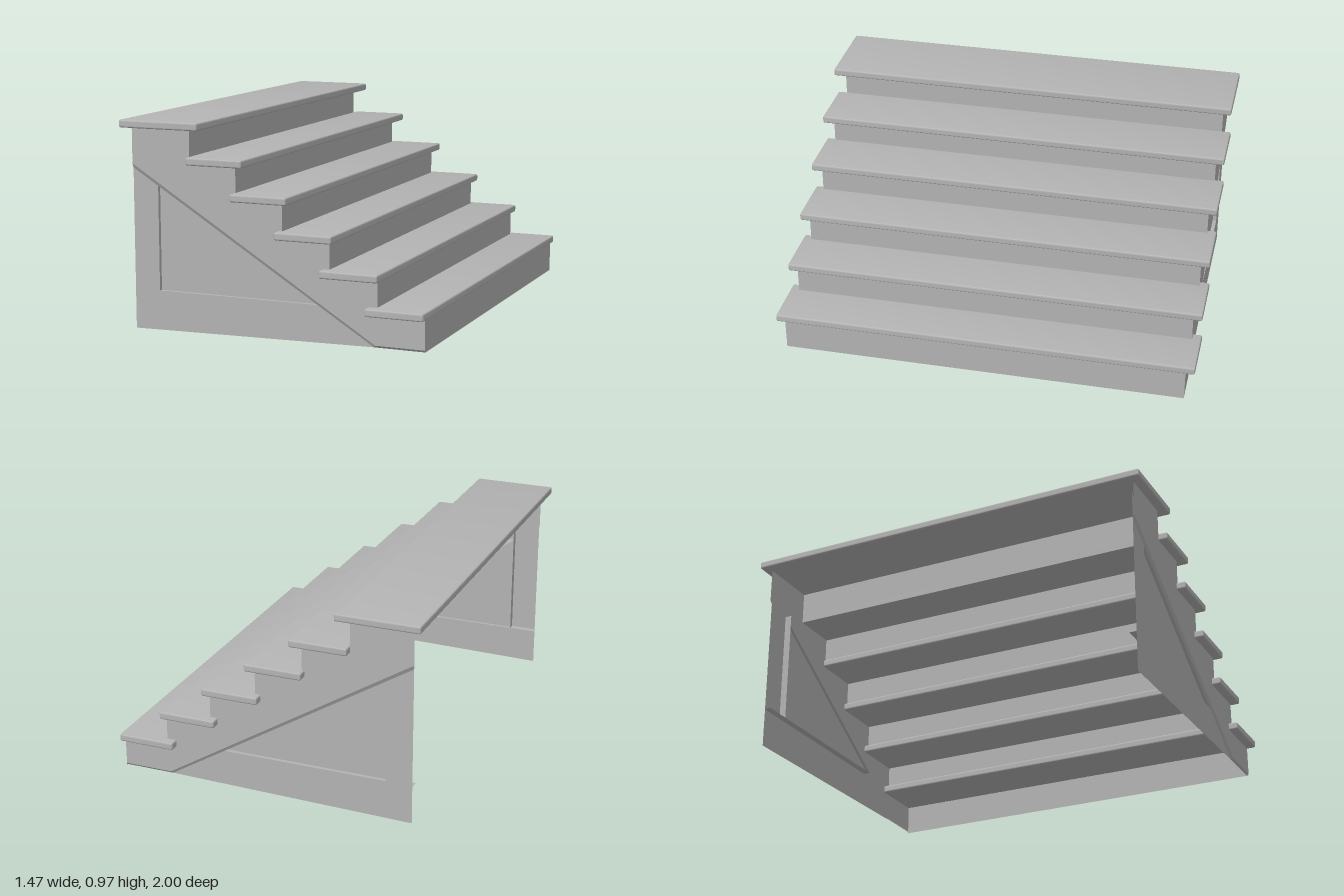
import * as THREE from 'three';
import { toCreasedNormals } from 'three/addons/utils/BufferGeometryUtils.js';
import { RoundedBoxGeometry } from 'three/addons/geometries/RoundedBoxGeometry.js';

// Steps from top to bottom: [tread left x, tread right x, tread top y, riser face x]
const STEPS = [
  [-0.735, -0.34, 0.967, -0.40],
  [-0.40, -0.124, 0.812, -0.172],
  [-0.185, 0.09, 0.66, 0.055],
  [0.03, 0.305, 0.504, 0.281],
  [0.245, 0.52, 0.35, 0.505],
  [0.46, 0.732, 0.199, 0.725],
];
const TREAD = 0.036, BACK = -0.69, BOTTOM = 0.02;
// Depths of the side sheets, measured from the middle
const STRINGER_Z = 0.957, SKIRT_Z = 0.948, PANEL_Z = 0.93, LIP_Z = 0.915;

export function createModel() {
  const group = new THREE.Group();
  const grey = new THREE.MeshStandardMaterial({ color: 0xb3b3b3, side: THREE.DoubleSide });
  grey.name = 'grey paint';

  const add = (name, geometry, parent) => {
    const mesh = new THREE.Mesh(geometry, grey);
    mesh.name = name;
    parent.add(mesh);
    return mesh;
  };

  // Flat sheet with an x-y outline at one z
  const sheet = (points, z) =>
    new THREE.ShapeGeometry(new THREE.Shape(points.map(([x, y]) => new THREE.Vector2(x, y)))).translate(0, 0, z);

  // Four-cornered sheet joining edge a-b at depth za to edge c-d at depth zb
  const strip = ([a, b], za, [c, d], zb) => {
    const geometry = new THREE.BufferGeometry();
    const corners = [...a, za, ...b, za, ...d, zb, ...c, zb];
    geometry.setAttribute('position', new THREE.Float32BufferAttribute(corners, 3));
    geometry.setIndex([0, 1, 2, 0, 2, 3]);
    geometry.computeVertexNormals();
    return geometry;
  };

  // Treads with softened edges, and thin risers below them
  STEPS.forEach(([left, right, top, face], i) => {
    const tread = new RoundedBoxGeometry(right - left, TREAD, 2, 2, 0.009);
    add('tread', toCreasedNormals(tread, 0.3), group).position.set((left + right) / 2, top - TREAD / 2, 0);

    const low = i < STEPS.length - 1 ? STEPS[i + 1][2] - TREAD : BOTTOM;
    const high = top - TREAD;
    const riser = new THREE.PlaneGeometry(2 * STRINGER_Z, high - low).rotateY(Math.PI / 2);
    add('riser', riser, group).position.set(face, (high + low) / 2, 0);
  });

  // Stepped stringer and the chamfer along its lower edge
  const upperEdge = [[BACK, 0.765], [0.495, 0.03], [0.725, 0.03]];
  const lowerEdge = [[BACK, 0.745], [0.487, BOTTOM], [0.725, BOTTOM]];
  const stringer = [...upperEdge];
  for (let i = STEPS.length - 1; i >= 0; i--) {
    const y = STEPS[i][2] - TREAD / 2;
    stringer.push([STEPS[i][3], y], [i > 0 ? STEPS[i - 1][3] : BACK, y]);
  }

  // Skirt under the stringer: rail, stile and a sunken triangular panel
  const corner = [-0.565, 0.185], peak = [-0.565, 0.675], toe = [0.235, 0.185];
  const rail = [[BACK, 0], [0.487, BOTTOM], toe, [BACK, 0.185]];
  const stile = [[BACK, 0.185], corner, [-0.565, 0.73], [BACK, 0.89]];
  const panel = [corner, toe, peak];
  const lips = {
    railLip: [[BACK - 0.004, 0.185], toe],
    stileLip: [corner, [-0.565, 0.73]],
    stringerLip: [peak, toe],
  };

  for (const side of [1, -1]) {
    const wall = new THREE.Group();
    wall.name = side > 0 ? 'frontSideWall' : 'backSideWall';
    add('stringer', sheet(stringer, side * STRINGER_Z), wall);
    for (const i of [0, 1]) {
      const upper = upperEdge.slice(i, i + 2), lower = lowerEdge.slice(i, i + 2);
      add('stringerChamfer', strip(upper, side * STRINGER_Z, lower, side * SKIRT_Z), wall);
    }
    add('bottomRail', sheet(rail, side * SKIRT_Z), wall);
    add('backStile', sheet(stile, side * SKIRT_Z), wall);
    add('skirtPanel', sheet(panel, side * PANEL_Z), wall);
    for (const [name, edge] of Object.entries(lips)) {
      add(name, strip(edge, side * SKIRT_Z, edge, side * LIP_Z), wall);
    }
    group.add(wall);
  }
  return group;
}
